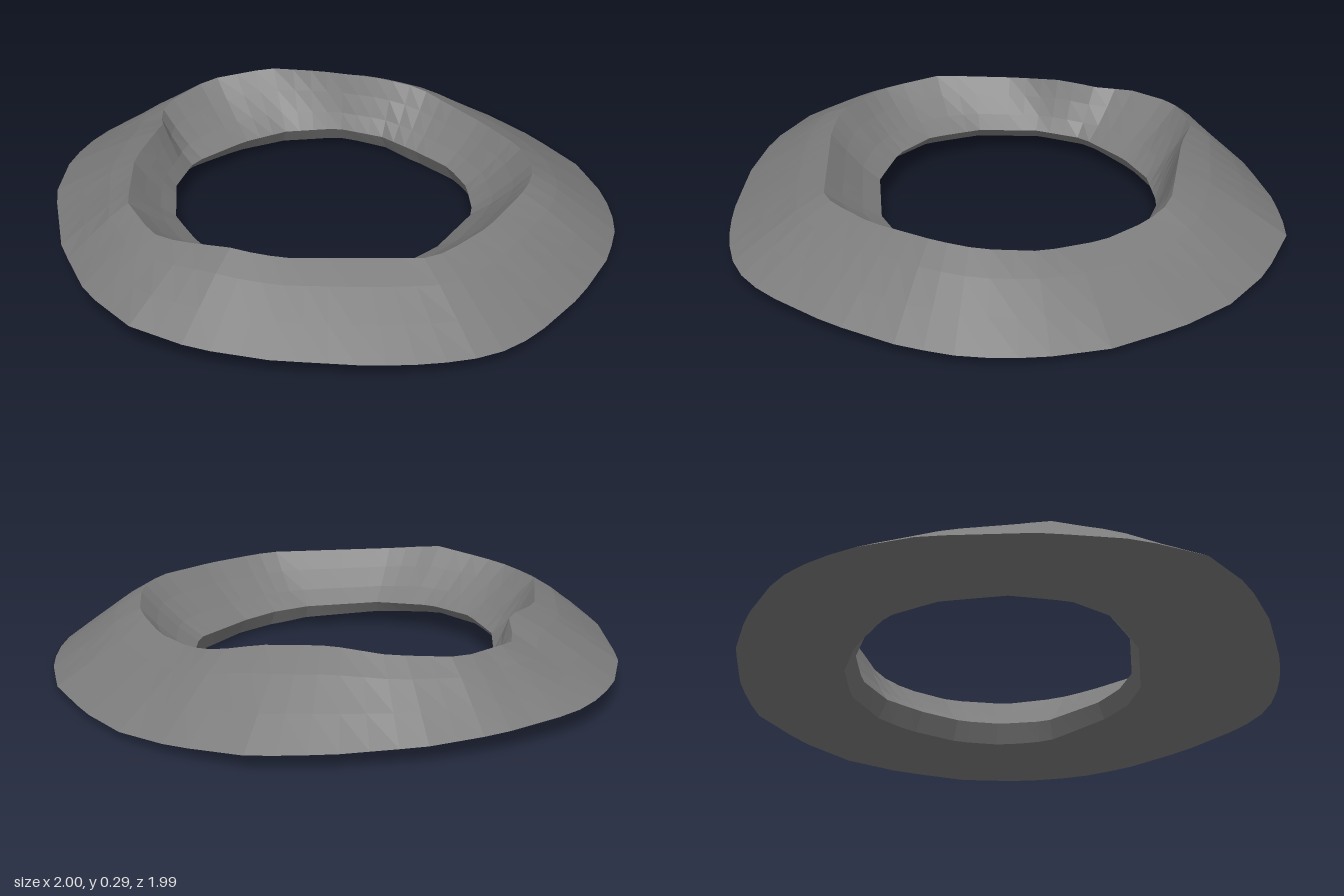
import * as THREE from 'three';

const SEGMENTS = 64;
const TAU = Math.PI * 2;

// Control points [x, y, z] around each contour
const OUTER = [
  [1, .022, 0], [.98, .035, -.23], [.89, .05, -.48], [.8, .053, -.58], [.69, .055, -.68], [.46, .06, -.84],
  [.23, .066, -.94], [0, .073, -.99], [-.14, .075, -1], [-.35, .08, -.94], [-.56, .085, -.8], [-.8, .09, -.52],
  [-.95, .095, -.25], [-1, .1, 0], [-.95, .09, .23], [-.83, .078, .45], [-.64, .065, .7], [-.5, .057, .84],
  [-.37, .05, .93], [-.25, .045, .98], [-.1, .043, .99], [.14, .04, .98], [.41, .035, .92], [.6, .032, .83],
  [.76, .027, .68], [.89, .023, .48], [.97, .02, .22],
];
const CREST = [
  [.67, .245, -.1], [.59, .275, -.23], [.47, .29, -.42], [.38, .28, -.6], [.19, .262, -.74], [-.02, .255, -.74],
  [-.12, .24, -.71], [-.15, .27, -.63], [-.22, .28, -.6], [-.41, .257, -.54], [-.64, .26, -.35],
  [-.72, .25, -.16], [-.71, .258, -.05], [-.65, .28, .14], [-.615, .268, .21], [-.56, .258, .29],
  [-.24, .237, .63], [-.16, .237, .65], [.03, .242, .67], [.3, .257, .64], [.43, .25, .58], [.56, .23, .43],
  [.64, .215, .22], [.67, .222, .03],
];
const INNER = [
  [.52, .07, 0], [.52, .075, -.16], [.45, .085, -.32], [.3, .09, -.45], [.14, .09, -.52], [-.09, .09, -.56],
  [-.26, .095, -.49], [-.42, .1, -.34], [-.5, .105, -.16], [-.49, .105, .02], [-.4, .095, .21], [-.21, .08, .39],
  [-.09, .075, .44], [.04, .07, .455], [.3, .07, .42], [.43, .07, .3], [.5, .07, .17],
];

// Resample a contour where rays at equal angles cross its straight sides
function resample(points) {
  const polar = points
    .map(([x, y, z]) => ({ a: (Math.atan2(z, x) + TAU) % TAU, r: Math.hypot(x, z), v: new THREE.Vector3(x, y, z) }))
    .sort((p, q) => p.a - q.a);
  const first = polar[0], last = polar[polar.length - 1];
  const loop = [{ ...last, a: last.a - TAU }, ...polar, { ...first, a: first.a + TAU }];
  return Array.from({ length: SEGMENTS }, (_, j) => {
    const a = (j / SEGMENTS) * TAU;
    const k = loop.findIndex((p) => p.a > a);
    const p = loop[k - 1], q = loop[k];
    const fromP = p.r * Math.sin(a - p.a), toQ = q.r * Math.sin(q.a - a);
    return p.v.clone().lerp(q.v, fromP / (fromP + toQ));
  });
}

// Ring part-way between two contours, raised or lowered by bulge
const between = (a, b, t, bulge) => a.map((p, j) => {
  const v = p.clone().lerp(b[j], t);
  v.y += bulge;
  return v;
});

// Join closed contours into a tube-like skin
function skin(rings) {
  const positions = rings.flat().flatMap((p) => [p.x, p.y, p.z]);
  const index = [];
  for (let i = 0; i < rings.length; i++) {
    const n = (i + 1) % rings.length;
    for (let j = 0; j < SEGMENTS; j++) {
      const k = (j + 1) % SEGMENTS;
      const a = i * SEGMENTS + j, b = n * SEGMENTS + j;
      const c = n * SEGMENTS + k, d = i * SEGMENTS + k;
      index.push(a, b, c, a, c, d);
    }
  }
  const geometry = new THREE.BufferGeometry();
  geometry.setAttribute('position', new THREE.Float32BufferAttribute(positions, 3));
  geometry.setIndex(index);
  geometry.computeVertexNormals();
  return geometry;
}

export function createModel() {
  const group = new THREE.Group();
  group.name = 'craterRing';

  const outer = resample(OUTER);
  const crest = resample(CREST);
  const inner = resample(INNER);

  // Lower lip, set back under the narrowest part of the hole
  const lip = inner.map((p, j) => new THREE.Vector3(
    p.x * 1.07, Math.max(0, outer[j].y - 0.028), p.z * 1.07));

  const rim = new THREE.Mesh(
    skin([
      outer,
      between(outer, crest, 0.35, 0.006),
      between(outer, crest, 0.7, 0.01),
      crest,
      between(crest, inner, 0.3, -0.01),
      between(crest, inner, 0.65, -0.012),
      inner,
      lip,
    ]),
    new THREE.MeshStandardMaterial({ color: 0x7c7c7c, flatShading: true }),
  );
  rim.name = 'craterRim';
  group.add(rim);
  return group;
}
